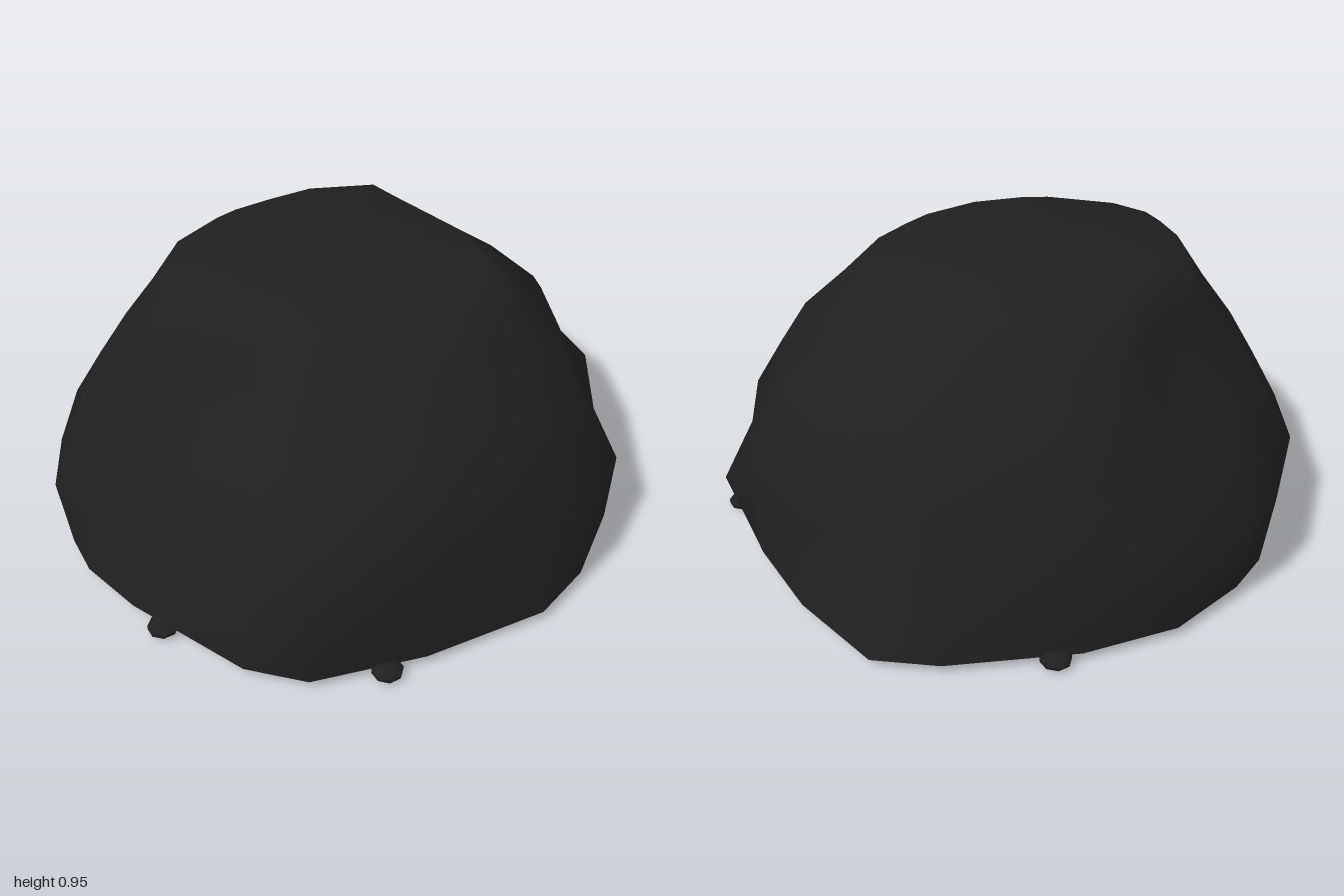
import * as THREE from 'three';

// One row per direction: angle in degrees (from +x towards +z), then the radius on each ring
const DIRECTIONS = [
  [6, .91, .90, .80, .74, .60, .47], [23, .95, .96, .85, .74, .58, .45], [42, .95, .94, .82, .70, .55, .42],
  [56, .955, .89, .81, .71, .54, .42], [82, .93, .93, .86, .76, .56, .43], [104, 1.0, .99, .91, .81, .60, .45],
  [116, .99, .95, .86, .76, .60, .47], [143, .955, .87, .76, .64, .58, .53], [157, .985, .94, .81, .70, .63, .56],
  [166, .99, 1.02, .90, .77, .67, .56], [180, .97, .98, .88, .78, .67, .57], [197, .96, .98, .87, .76, .65, .55],
  [219, .96, .99, .82, .65, .57, .50], [229, .96, .985, .81, .64, .56, .49], [246, .967, .95, .85, .74, .60, .48],
  [265, .953, .92, .85, .78, .65, .51], [290, 1.0, .93, .88, .81, .68, .55], [302, 1.04, .93, .88, .81, .64, .48],
  [321, .96, .91, .87, .83, .62, .43], [340, .93, .94, .85, .79, .60, .43], [346, .93, 1.0, .84, .77, .60, .45],
];
const HEIGHTS = [0.03, 0.29, 0.47, 0.64, 0.79, 0.93];

// Lumpy dome lofted through the rings, closed by a flat base and a shallow crown fan
function rockGeometry() {
  const n = DIRECTIONS.length;
  const points = [];
  const faces = [];
  const addRing = (ring) => {
    for (const row of DIRECTIONS) {
      const a = THREE.MathUtils.degToRad(row[0]);
      const r = row[ring + 1];
      const x = r * Math.cos(a);
      // the crown slopes gently down towards +x
      const y = ring === HEIGHTS.length - 1 ? HEIGHTS[ring] - 0.02 * x : HEIGHTS[ring];
      points.push(x, y, r * Math.sin(a));
    }
  };
  HEIGHTS.forEach((_, ring) => addRing(ring));
  // the base has its own rim so that its edge stays sharp
  const baseRim = points.length / 3;
  addRing(0);
  const baseCentre = baseRim + n;
  points.push(0, HEIGHTS[0], 0);
  const crownCentre = baseCentre + 1;
  points.push(-0.2, 0.955, -0.05);
  const crownRim = (HEIGHTS.length - 1) * n;
  for (let j = 0; j < n; j++) {
    const k = (j + 1) % n;
    for (let ring = 0; ring < HEIGHTS.length - 1; ring++) {
      const a = ring * n + j, b = ring * n + k;
      faces.push(a, a + n, b, b, a + n, b + n);
    }
    faces.push(baseCentre, baseRim + j, baseRim + k);
    faces.push(crownCentre, crownRim + k, crownRim + j);
  }
  const geometry = new THREE.BufferGeometry();
  geometry.setAttribute('position', new THREE.Float32BufferAttribute(points, 3));
  geometry.setIndex(faces);
  geometry.computeVertexNormals();
  return geometry;
}

export function createModel() {
  const model = new THREE.Group();
  model.name = 'rock';

  const charcoal = new THREE.MeshStandardMaterial({ color: 0x202020 });
  charcoal.name = 'charcoal';

  const body = new THREE.Mesh(rockGeometry(), charcoal);
  body.name = 'rockBody';
  model.add(body);

  // Small flattened pebbles under the rim
  const pebble = new THREE.SphereGeometry(0.052, 8, 5);
  pebble.scale(1, 0.44, 1);
  const spots = [[0.948, 0], [0, 0.948], [-0.948, 0], [0, -0.948], [-0.67, 0.67]];
  spots.forEach(([x, z], i) => {
    const foot = new THREE.Mesh(pebble, charcoal);
    foot.name = `footPebble${i + 1}`;
    foot.position.set(x, 0.023, z);
    model.add(foot);
  });

  return model;
}
